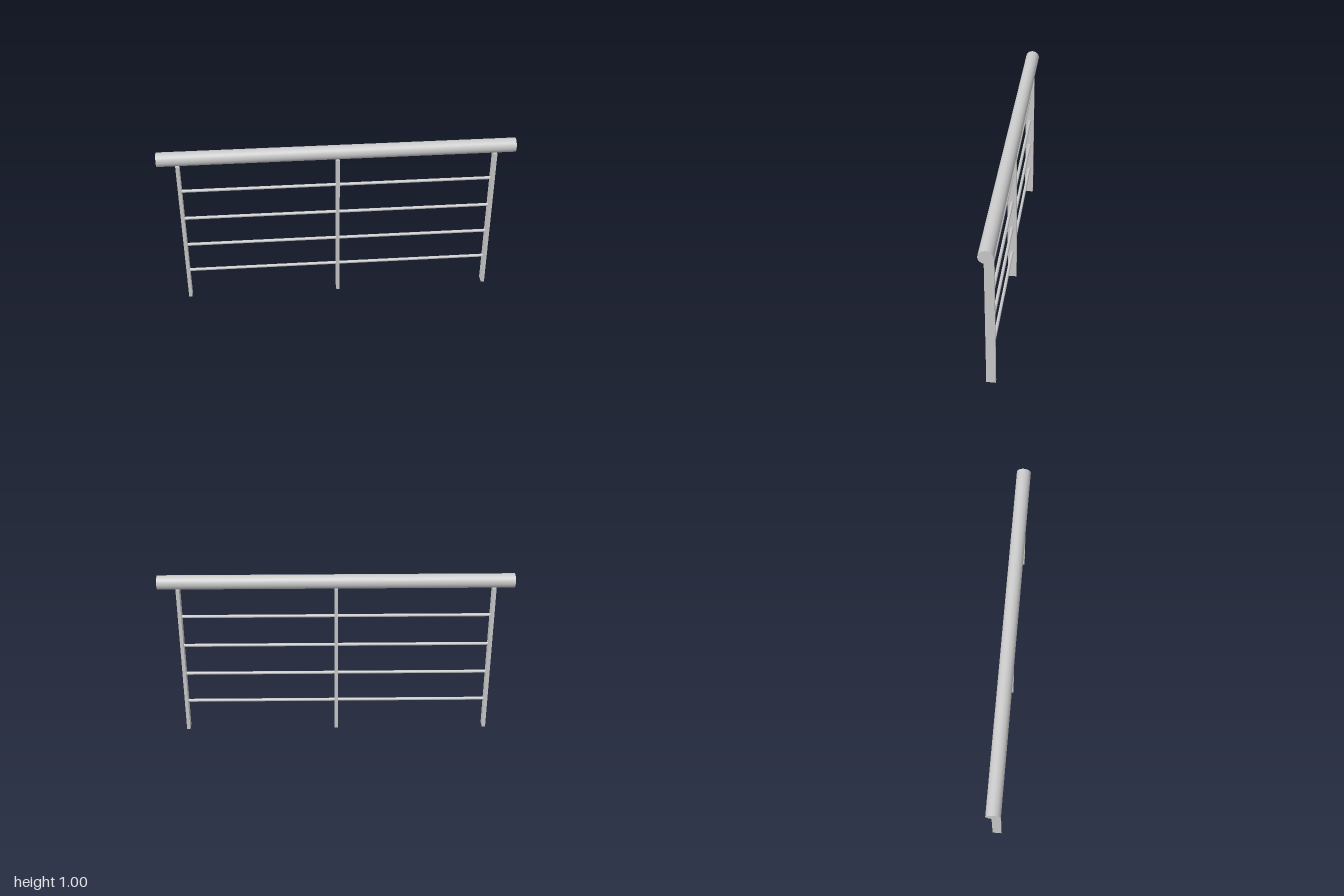
import * as THREE from 'three';

const RAIL_RADIUS = 0.04;
const POST_HEIGHT = 0.921;
const POST_X = 0.888;

export function createModel() {
  const group = new THREE.Group();
  group.name = 'railing';
  const material = new THREE.MeshStandardMaterial({ color: 0xcccccc });

  const add = (name, geometry, x, y) => {
    const mesh = new THREE.Mesh(geometry, material);
    mesh.name = name;
    mesh.position.set(x, y, 0);
    group.add(mesh);
  };

  // Round bar lying along x
  const bar = (radius, length, sides) =>
    new THREE.CylinderGeometry(radius, radius, length, sides).rotateZ(Math.PI / 2);

  // Handrail resting on top of the posts
  add('handrail', bar(RAIL_RADIUS, 2, 48), 0, 1 - RAIL_RADIUS);

  // Flat upright posts
  const post = new THREE.BoxGeometry(0.02, POST_HEIGHT, 0.052);
  ['rightPost', 'middlePost', 'leftPost'].forEach((name, i) =>
    add(name, post, (i - 1) * POST_X, POST_HEIGHT / 2));

  // Four thin crossbars running between the outer posts
  const crossbar = bar(0.009, POST_X * 2, 24);
  for (let i = 1; i <= 4; i++) add(`crossbar${i}`, crossbar, 0, i * 0.1865 - 0.001);

  return group;
}
